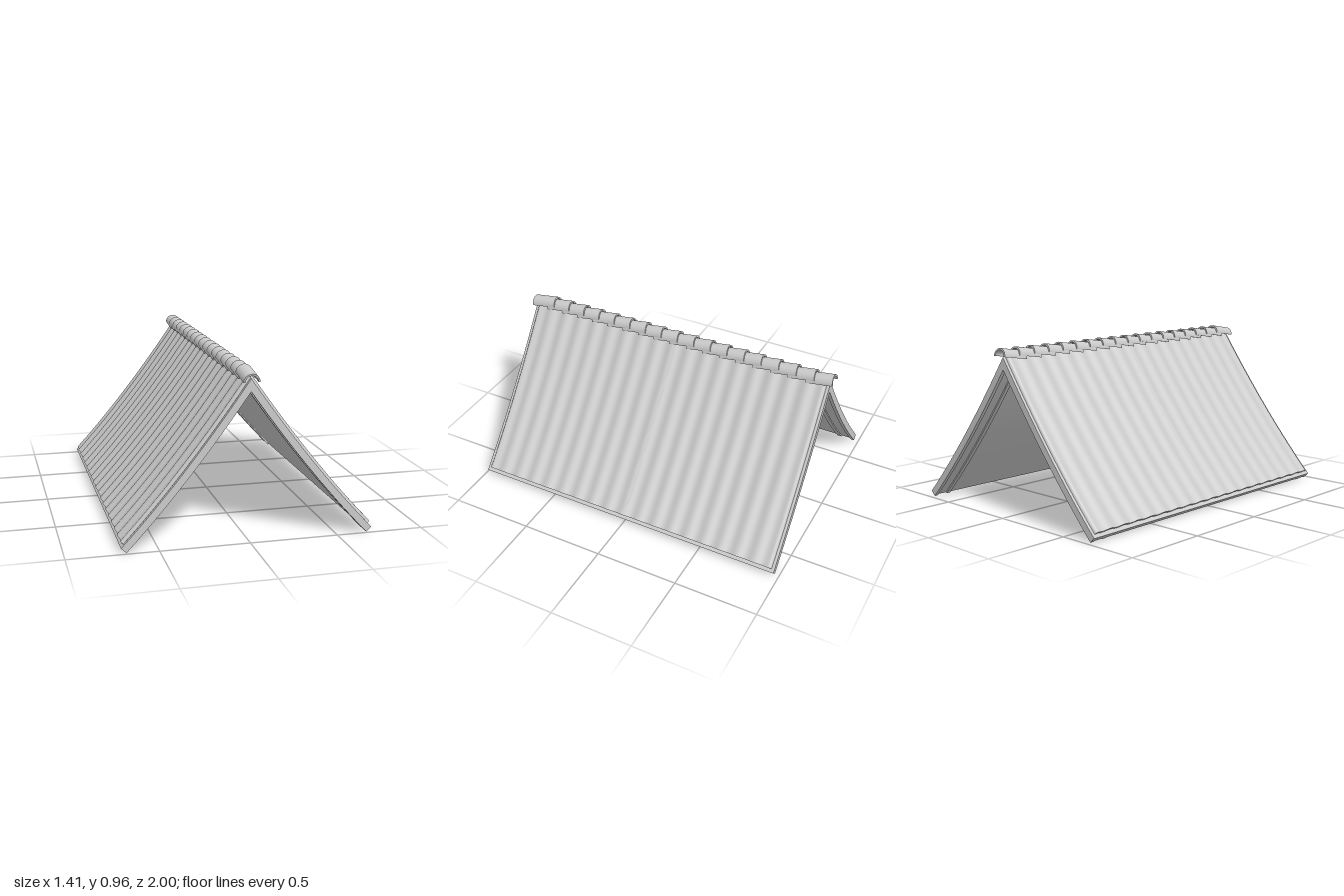
import * as THREE from 'three';
import { toCreasedNormals } from 'three/addons/utils/BufferGeometryUtils.js';

const material = new THREE.MeshStandardMaterial({ color: 0xcccccc });

// Underside curve of the sagging slope, offset by d along its normal
function slopePoint(x, d) {
  const y = 0.84 - 1.42 * x + 0.27 * x * x;
  const k = 1.42 - 0.54 * x; // downward slope
  const n = Math.hypot(1, k);
  return [x + (d * k) / n, y + d / n];
}

// Sweep a closed section of [d, z] points from the ridge down to the eave
function sweepSlope(section, eave, side, steps = 20) {
  const pos = [], idx = [], n = section.length;
  const tri = (a, b, c) => (side > 0 ? idx.push(a, b, c) : idx.push(a, c, b));
  for (let i = 0; i <= steps; i++) {
    for (const [d, z] of section) {
      const start = -0.82 * d; // meets the other slope at x = 0
      const [x, y] = slopePoint(start + ((eave - start) * i) / steps, d);
      pos.push(side * x, y, z);
    }
  }
  for (let i = 0; i < steps; i++) {
    for (let j = 0; j < n; j++) {
      const a = i * n + j, b = i * n + ((j + 1) % n);
      tri(a, b, b + n);
      tri(a, b + n, a + n);
    }
  }
  // end faces
  const outline = section.map(([d, z]) => new THREE.Vector2(d, z));
  const last = steps * n;
  for (const [a, b, c] of THREE.ShapeUtils.triangulateShape(outline, [])) {
    tri(last + a, last + b, last + c);
    tri(a, c, b);
  }
  const geo = new THREE.BufferGeometry();
  geo.setAttribute('position', new THREE.Float32BufferAttribute(pos, 3));
  geo.setIndex(idx);
  return toCreasedNormals(geo, 0.6);
}

const box = (d0, d1, z0, z1) => [[d1, z0], [d1, z1], [d0, z1], [d0, z0]];

// Wavy tile sheet section with rounded verges at both ends
function tileSection() {
  const z0 = -0.955, z1 = 0.968, waves = 18, perWave = 8, roll = 0.035;
  const zs = [];
  for (let i = 0; i <= waves * perWave; i++) zs.push(z0 + ((z1 - z0) * i) / (waves * perWave));
  for (const e of [0.003, 0.008, 0.02]) zs.push(z0 + e, z1 - e);
  zs.sort((a, b) => a - b);
  const height = (z) => {
    const wave = 0.056 + 0.006 * Math.cos(((z - z0) / (z1 - z0)) * waves * Math.PI * 2);
    const u = Math.min(1, Math.min(z - z0, z1 - z) / roll);
    return 0.041 + (wave - 0.041) * Math.sqrt(Math.max(0, 1 - (1 - u) ** 2));
  };
  const top = zs.map((z) => [height(z), z]);
  const under = zs.slice(1, -1).reverse().map((z) => [Math.max(0.039, height(z) - 0.012), z]);
  return [...top, ...under];
}

function createSlope(side) {
  const slope = new THREE.Group();
  slope.name = side > 0 ? 'leftSlope' : 'rightSlope';
  const add = (name, section, eave) => {
    const mesh = new THREE.Mesh(sweepSlope(section, eave, side), material);
    mesh.name = name;
    slope.add(mesh);
  };
  add('deck', box(0.008, 0.04, -0.965, 0.98), 0.675);
  add('tileSheet', tileSection(), 0.66);
  // edge boards and inner rafters under the deck
  add('frontEdgeBoard', box(0, 0.04, 0.963, 0.986), 0.675);
  add('backEdgeBoard', box(0, 0.04, -0.972, -0.949), 0.675);
  add('frontRafter', box(0, 0.02, 0.885, 0.912), 0.675);
  add('backRafter', box(0, 0.02, -0.885, -0.858), 0.675);
  return slope;
}

// Overlapping half-round caps, each tipped up toward the back
function createRidge() {
  const ridge = new THREE.Group();
  ridge.name = 'ridgeCaps';
  const count = 18, length = 0.16, tilt = 0.16;
  const arch = new THREE.Shape();
  arch.absarc(0, 0, 0.046, 0, Math.PI, false);
  arch.absarc(0, 0, 0.036, Math.PI, 0, true);
  arch.closePath();
  const extruded = new THREE.ExtrudeGeometry(arch, { depth: length, bevelEnabled: false, curveSegments: 12 });
  extruded.translate(0, 0, -length / 2);
  const geo = toCreasedNormals(extruded, 0.6);
  const reach = 1 - (length / 2) * Math.cos(tilt) - 0.004;
  for (let i = 0; i < count; i++) {
    const cap = new THREE.Mesh(geo, material);
    cap.name = 'ridgeCap';
    cap.position.set(0, 0.904, reach - (2 * reach * i) / (count - 1));
    cap.rotation.x = tilt;
    ridge.add(cap);
  }
  return ridge;
}

export function createModel() {
  const roof = new THREE.Group();
  roof.name = 'roof';
  roof.add(createSlope(1), createSlope(-1), createRidge());
  return roof;
}
